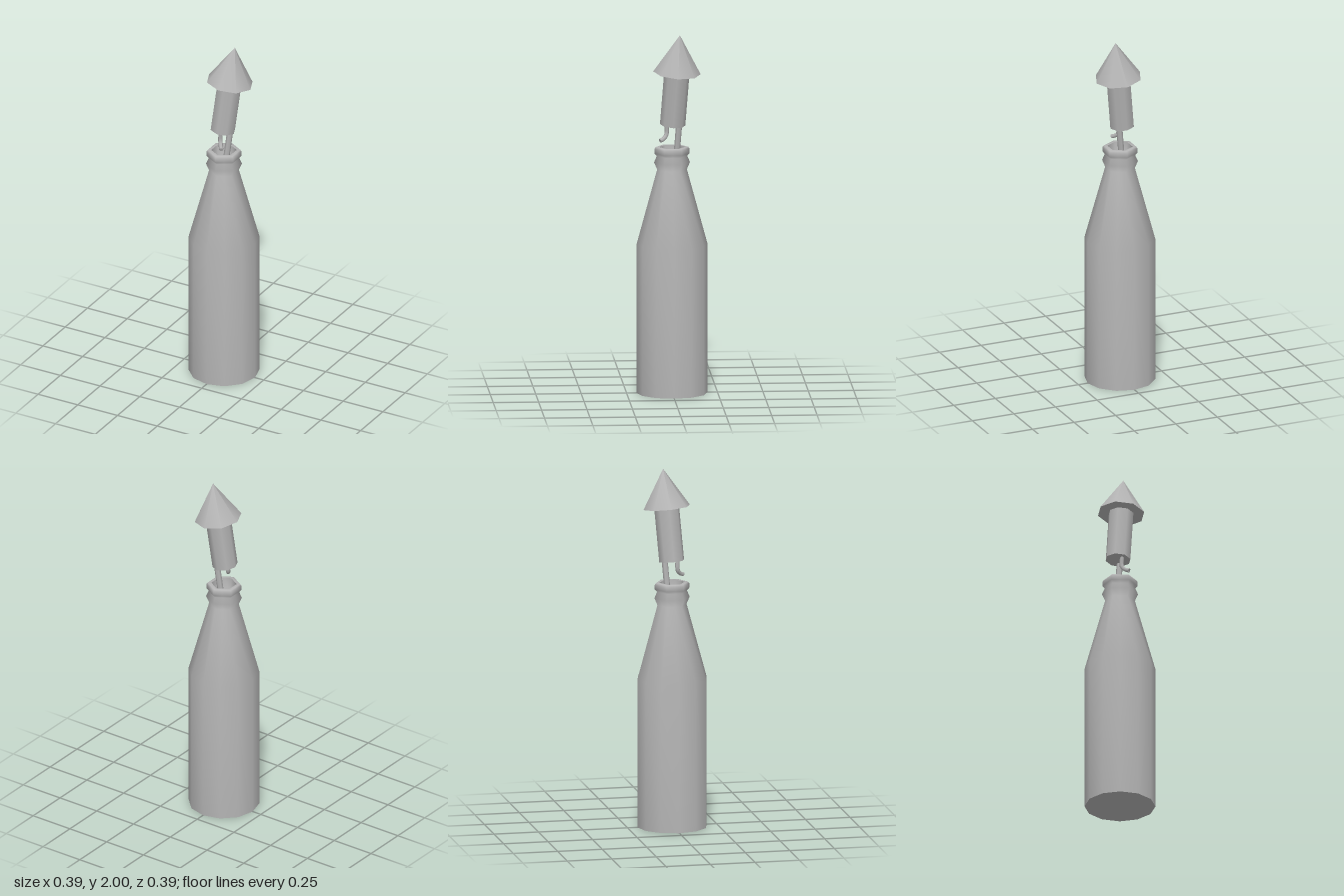
import * as THREE from 'three';
import { mergeVertices } from 'three/addons/utils/BufferGeometryUtils.js';

const grey = new THREE.MeshStandardMaterial({ color: 0xb4b4b4 });
grey.name = 'plain grey';

function add(parent, name, geometry) {
  const mesh = new THREE.Mesh(geometry, grey);
  mesh.name = name;
  parent.add(mesh);
  return mesh;
}

// Twelve-sided revolve whose neck (above y = 1) narrows to a hexagon
function bottleGeometry(profile) {
  const geo = new THREE.LatheGeometry(profile.map(([r, y]) => new THREE.Vector2(r, y)), 12);
  const pos = geo.attributes.position;
  for (let i = 0; i < pos.count; i++) {
    const side = Math.floor(i / profile.length);
    if (pos.getY(i) > 1 && side % 2 === 1) {
      const k = Math.cos(Math.PI / 6);
      pos.setX(i, pos.getX(i) * k);
      pos.setZ(i, pos.getZ(i) * k);
    }
  }
  geo.deleteAttribute('uv');
  geo.deleteAttribute('normal');
  const merged = mergeVertices(geo, 1e-5);
  merged.computeVertexNormals();
  return merged;
}

export function createModel() {
  const model = new THREE.Group();
  model.name = 'rocketInBottle';

  // Bottle
  const bottle = new THREE.Group();
  bottle.name = 'bottle';
  model.add(bottle);
  add(bottle, 'bottleShell', bottleGeometry([
    [0.195, 0], [0.195, 0.83], [0.082, 1.245], [0.099, 1.285], [0.084, 1.32],
    [0.097, 1.335], [0.097, 1.36], [0.09, 1.37], [0.07, 1.37],
  ]));
  add(bottle, 'bottleMouth', bottleGeometry([[0.07, 1.37], [0.06, 1.26], [0, 1.26]]));
  const base = add(bottle, 'bottleBase', new THREE.CircleGeometry(0.195, 12));
  base.rotation.x = Math.PI / 2;

  // Rocket, leaning along its own axis; the origin is the bottom of its tube
  const rocket = new THREE.Group();
  rocket.name = 'rocket';
  rocket.position.set(-0.01, 1.492, -0.004);
  const axis = new THREE.Vector3(0.108, 1, -0.072).normalize();
  rocket.quaternion.setFromUnitVectors(new THREE.Vector3(0, 1, 0), axis);
  model.add(rocket);
  add(rocket, 'rocketTube', new THREE.CylinderGeometry(0.07, 0.07, 0.3, 8)).position.y = 0.15;
  add(rocket, 'noseCone', new THREE.ConeGeometry(0.131, 0.215, 8)).position.y = 0.4055;

  // Guide stick running down into the neck
  const stick = add(rocket, 'stick', new THREE.CylinderGeometry(0.017, 0.017, 0.26, 6));
  stick.position.set(0.03, -0.12, -0.033);

  // Curled fuse
  const path = new THREE.CatmullRomCurve3([
    new THREE.Vector3(-0.004, 1.5, 0.03),
    new THREE.Vector3(-0.006, 1.44, 0.03),
    new THREE.Vector3(0.005, 1.418, 0.045),
    new THREE.Vector3(0.02, 1.408, 0.066),
  ]);
  add(model, 'fuse', new THREE.TubeGeometry(path, 6, 0.012, 6));
  const end = add(model, 'fuseEnd', new THREE.CircleGeometry(0.012, 6));
  end.position.copy(path.getPoint(1));
  end.quaternion.setFromUnitVectors(new THREE.Vector3(0, 0, 1), path.getTangent(1));

  return model;
}
